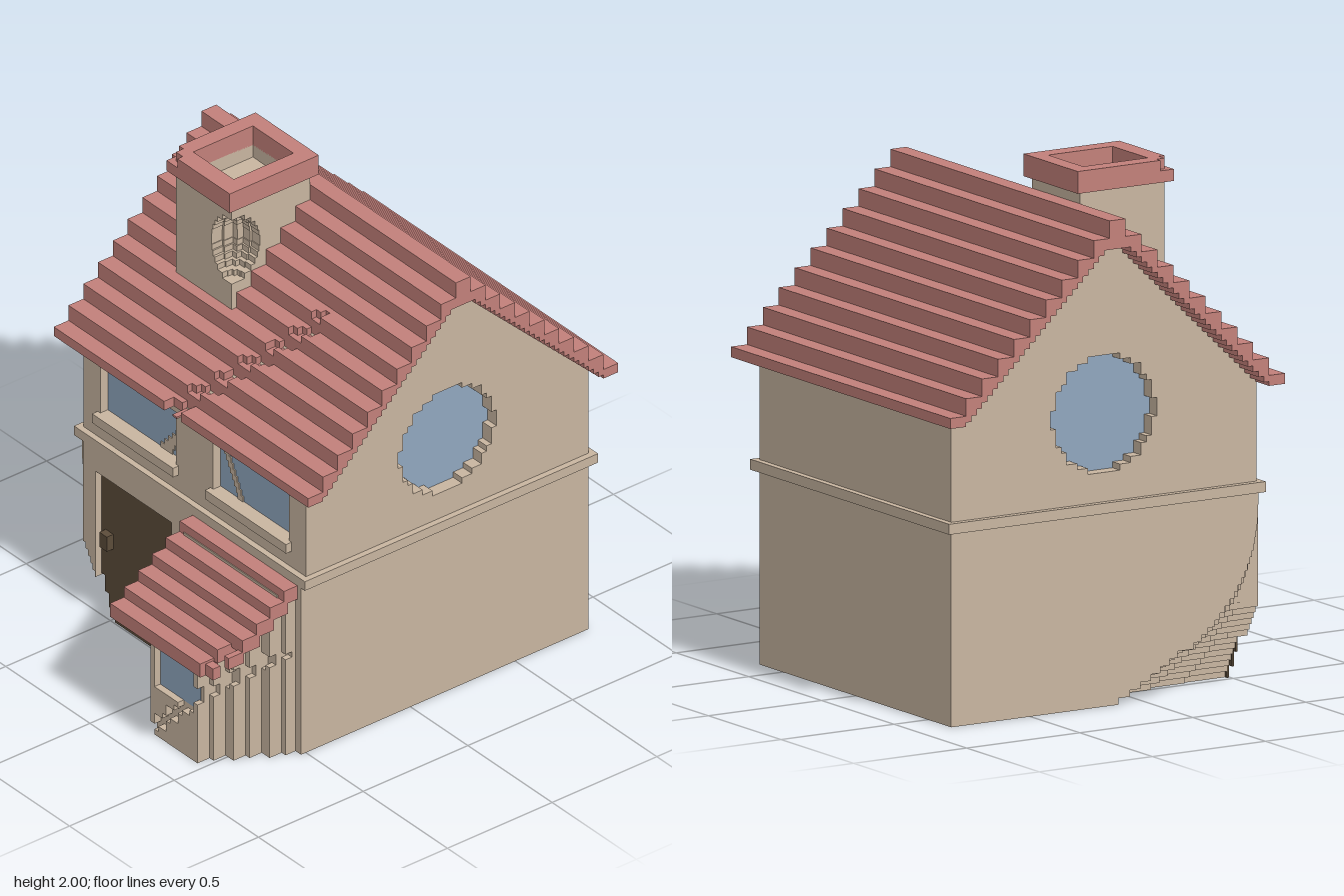
import * as THREE from 'three';

const U = 0.0235; // size of one small block
const paint = (name, color) => {
  const m = new THREE.MeshStandardMaterial({ color });
  m.name = name;
  return m;
};

export function createModel() {
  const plaster = paint('plaster', 0xc8b5a0), tile = paint('roofTile', 0xc2807a);
  const glass = paint('windowGlass', 0x90a6be), wood = paint('darkWood', 0x5c4c3a);
  const house = new THREE.Group();
  house.name = 'house';

  const part = (name, parent = house) => {
    const g = new THREE.Group();
    g.name = name;
    parent.add(g);
    return g;
  };
  const add = (name, geo, mat, parent) => {
    const m = new THREE.Mesh(geo, mat);
    m.name = name;
    parent.add(m);
  };
  // box given by its limits
  const box = (name, mat, x0, x1, y0, y1, z0, z1, parent = house) => {
    const g = new THREE.BoxGeometry(x1 - x0, y1 - y0, z1 - z0);
    add(name, g.translate((x0 + x1) / 2, (y0 + y1) / 2, (z0 + z1) / 2), mat, parent);
  };
  const outline = (pts, holes = []) => {
    const s = new THREE.Shape(pts.map(p => new THREE.Vector2(...p)));
    for (const h of holes) s.holes.push(new THREE.Path(h.map(p => new THREE.Vector2(...p))));
    return s;
  };
  const extrude = (shape, depth) => new THREE.ExtrudeGeometry(shape, { depth, bevelEnabled: false });
  // (x, z) outline filling y0..y1
  const layer = (name, mat, pts, y0, y1, parent, holes) =>
    add(name, extrude(outline(pts, holes), y1 - y0).rotateX(Math.PI / 2).translate(0, y1, 0), mat, parent);
  // (z, y) outline filling x0..x1
  const across = (name, mat, pts, x0, x1, parent, holes) =>
    add(name, extrude(outline(pts, holes), x1 - x0).rotateY(-Math.PI / 2).translate(x1, 0, 0), mat, parent);
  const rect = (a, b, c, d) => [[a, c], [b, c], [b, d], [a, d]];
  // stepped elliptical bite at a corner, from (x + dx, z) round to (x, z - dz)
  const bite = (x, z, dx, dz, n = 5) => {
    const pts = [[x + dx, z]];
    for (let k = 1; k <= n; k++) {
      const a = (k / n) * Math.PI / 2, b = ((k - 1) / n) * Math.PI / 2;
      pts.push([x + dx * Math.cos(b), z - dz * Math.sin(a)], [x + dx * Math.cos(a), z - dz * Math.sin(a)]);
    }
    return pts.filter((p, i) => !i || Math.hypot(p[0] - pts[i - 1][0], p[1] - pts[i - 1][1]) > 1e-5);
  };

  // ground floor in layers, with a doorway and a crumbled front corner
  const ground = part('groundFloor');
  const N = 30, H = 0.74 / N;
  for (let i = 0; i < N; i++) {
    const y = i * H, t = Math.max(0, 1 - y / 0.72);
    const dx = 0.025 + 0.17 * Math.max(0, 1 - y / 0.3), dz = 0.015 + 0.58 * t ** 2.6;
    const pts = [[-0.66, -0.85], [0.66, -0.85], [0.66, 0.523]];
    let front = 0.523;
    if (y < 0.64) {
      pts.push([-0.11, 0.523], [-0.11, 0.485]);
      if (dx < 0.1) pts.push([-0.56, 0.485], [-0.56, 0.523]);
      else front = 0.485;
    }
    layer('groundFloorLayer', plaster, pts.concat(bite(-0.66, front, dx, dz)), y, y + H, ground);
  }

  // door with its chipped lower corner, and handle
  const door = part('door');
  const doorPts = [[-0.11, 0], [-0.11, 0.65], [-0.56, 0.65], [-0.56, 0.18], [-0.54, 0.18], [-0.54, 0.11],
    [-0.515, 0.11], [-0.515, 0.05], [-0.48, 0.05], [-0.48, 0]];
  add('doorPanel', extrude(outline(doorPts), 0.009).translate(0, 0, 0.485), wood, door);
  box('doorHandle', wood, -0.535, -0.49, 0.32, 0.385, 0.49, 0.525, door);

  box('floorBand', plaster, -0.685, 0.685, 0.74, 0.78, -0.875, 0.525);

  // upper floor: core, front wall with window holes, gable walls with round holes
  const upper = part('upperFloor');
  const C = -0.175;
  const gable = f => [[-0.85, 0.76], [f, 0.76], [f, 1.17 + 0.96 * (0.5 - f)], [C + 0.03, 1.78], [C - 0.03, 1.78], [-0.85, 1.17]];
  across('upperCore', plaster, gable(0.46), -0.6, 0.6, upper);
  const openings = [rect(-0.56, -0.11, 0.89, 1.12), rect(0.11, 0.56, 0.89, 1.12)];
  add('frontWall', extrude(outline(rect(-0.6, 0.6, 0.76, 1.17), openings), 0.04).translate(0, 0, 0.46), plaster, upper);
  const round = [[], []];
  for (let j = -9; j <= 9; j++) {
    const w = (Math.round(Math.sqrt(9.6 ** 2 - j * j)) || 1) * U, y = 1.115 + j * U;
    round[0].push([C + w, y - U / 2], [C + w, y + U / 2]);
    round[1].unshift([C - w, y + U / 2], [C - w, y - U / 2]);
  }
  for (const s of [-1, 1]) {
    across('gableWall', plaster, gable(0.5), s > 0 ? 0.6 : -0.66, s > 0 ? 0.66 : -0.6, upper, [round.flat()]);
    box('roundWindow', glass, s * 0.604 - 0.004, s * 0.604 + 0.004, 0.87, 1.36, C - 0.25, C + 0.25, upper);
    box('frontWindow', glass, s * 0.335 - 0.235, s * 0.335 + 0.235, 0.88, 1.13, 0.455, 0.464, upper);
    box('windowSill', plaster, s * 0.335 - 0.24, s * 0.335 + 0.24, 0.85, 0.89, 0.46, 0.527, upper);
  }
  // cracks running over the panes
  for (let k = 0; k < 10; k++) {
    const y = 0.89 + k * 0.023, x = 0.235 - k * 0.0115;
    box('paneCrack', plaster, x - 0.018, x + 0.012, y, y + 0.023, 0.46, 0.469, upper);
    if (k < 6) box('paneCrack', plaster, -0.24 + k * 0.022, -0.17 + k * 0.012, y, y + 0.023, 0.46, 0.469, upper);
  }

  // stepped main roof; a crack lowers the tiles around z = crack
  const roof = part('mainRoof');
  const roofProfile = (crack, chipped) => {
    const top = [], under = [];
    for (let j = 31; j >= -31; j--) {
      const z = C + j * U, d = Math.abs(j * U);
      if (chipped && j > 29) continue;
      const low = Math.min(1.76, Math.max(1.16, 1.16 + 0.96 * (0.675 - d)));
      let high = 1.87 - 0.067 * Math.ceil(Math.max(0, Math.abs(j) - 1) / 3);
      if (Math.abs(z - crack) < 0.04) high = Math.max(low + 0.008, high - 0.032);
      top.push([z + U / 2, high], [z - U / 2, high]);
      under.unshift([z - U / 2, low], [z + U / 2, low]);
    }
    const pts = top.concat(under);
    return pts.filter((p, i) => !i || Math.hypot(p[0] - pts[i - 1][0], p[1] - pts[i - 1][1]) > 1e-5);
  };
  across('roofRight', tile, roofProfile(9, false), -0.755, -0.1, roof);
  across('roofLeft', tile, roofProfile(9, false), 0.3, 0.755, roof);
  for (let k = 0; k < 16; k++) {
    const x = -0.1 + k * 0.025;
    across('roofCracked', tile, roofProfile(0.58 - 0.44 * (k / 15), k < 4 && k !== 2), x, x + 0.025, roof);
  }

  // chimney with a bitten corner and hollow cap
  const chimney = part('chimney');
  const flue = rect(-0.4, -0.16, -0.1, 0.185);
  const stack = rect(-0.44, -0.11, -0.14, 0.235);
  layer('chimneyBase', plaster, stack, 1.2, 1.58, chimney);
  for (let i = 0; i < 12; i++) {
    const y = 1.58 + i * U, r = Math.sqrt(1 - ((i - 5.5) / 6.2) ** 2);
    const corner = bite(-0.11, 0.235, -0.12 * r, 0.135 * r, 4);
    layer('chimneyBitten', plaster, [[-0.44, -0.14], [-0.44, 0.235], ...corner, [-0.11, -0.14]], y, y + U, chimney);
  }
  layer('chimneyTop', plaster, stack, 1.58 + 12 * U, 1.92, chimney, [flue]);
  layer('capLower', tile, rect(-0.465, -0.09, -0.165, 0.26), 1.915, 1.96, chimney, [flue]);
  layer('capUpper', tile, [[-0.465, -0.165], [-0.09, -0.165], [-0.09, 0.26], [-0.4, 0.26], [-0.4, 0.235],
    [-0.44, 0.235], [-0.44, 0.2], [-0.465, 0.2]], 1.96, 2, chimney, [flue]);

  // bay in layers: stepped round plan, window recess and a diagonal crack
  const bay = part('bay');
  for (let i = 0; i < 30; i++) {
    const y = (i + 0.5) * U, pts = [[0, 0.45]];
    const limit = y < 0.47 ? 0.86 : 0.86 - (y - 0.46) * 1.15;
    const crack = 0.17 + 0.96 * y + (i % 3) * 0.008;
    for (let j = 0; j < 28; j++) {
      const x = (j + 0.5) * 0.65 / 28, d = Math.abs(x - 0.325);
      let z = 0.86 - 0.058 * Math.ceil(Math.max(0, d - 0.13) / 0.035);
      if (Math.abs(x - crack) < 0.03 && y < 0.45) z -= 0.03;
      if (x > 0.22 && x < 0.44 && y > 0.22 && y < 0.43) z = 0.825;
      z = Math.max(0.51, Math.min(z, limit));
      pts.push([x - 0.325 / 28, z], [x + 0.325 / 28, z]);
    }
    pts.push([0.65, 0.45]);
    layer('bayLayer', plaster, pts.filter((p, k) => !k || Math.hypot(p[0] - pts[k - 1][0], p[1] - pts[k - 1][1]) > 1e-5),
      i * U, (i + 1) * U, bay);
  }
  box('bayWindow', glass, 0.205, 0.448, 0.21, 0.44, 0.822, 0.832, bay);

  // bay roof rows, the front corner broken away
  const ends = [0.64, 0.64, 0.64, 0.64, 0.575, 0.555];
  ends.forEach((x1, r) => {
    const top = 0.74 - 0.046 * r, z1 = 0.588 + 0.0664 * r;
    box('bayRoofRow', tile, 0.02, x1, top - 0.06, top, r ? z1 - 0.085 : 0.5, z1, bay);
  });
  box('bayRoofChip', tile, 0.615, 0.64, 0.5, 0.55, 0.78, 0.853, bay);
  box('bayRoofChip', tile, 0.55, 0.6, 0.45, 0.5, 0.86, 0.895, bay);

  return house;
}
